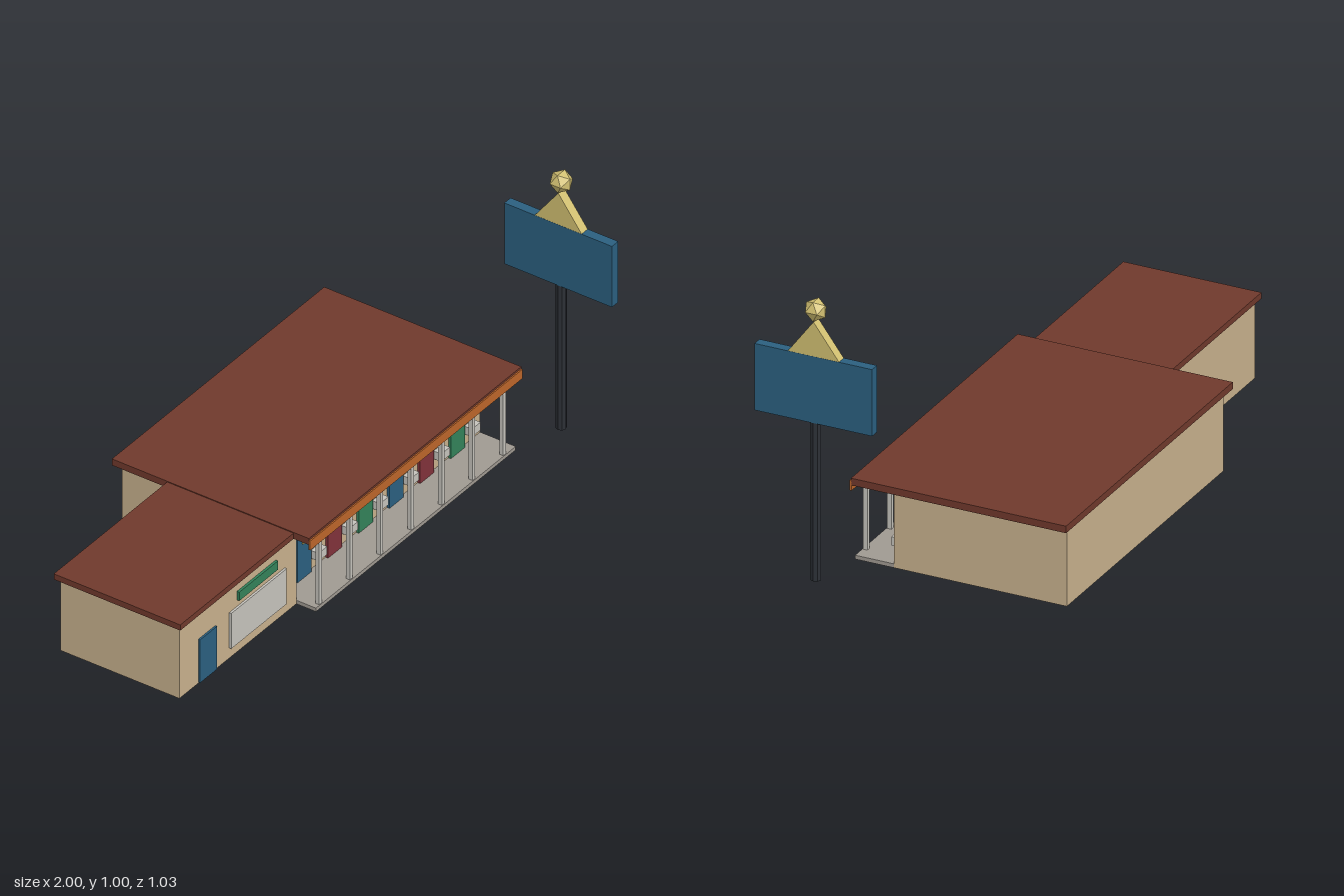
import * as THREE from 'three';

const mat = (name, color) => Object.assign(new THREE.MeshStandardMaterial({ color }), { name });

export function createModel() {
  const wall = mat('tan stucco', 0xc8b18d);
  const roof = mat('brown roof', 0x70392c);
  const orange = mat('orange trim', 0xbc652a);
  const blue = mat('blue paint', 0x2b6080);
  const red = mat('red paint', 0x81323a);
  const green = mat('green paint', 0x33825a);
  const pale = mat('pale grey', 0xc6c4bd);
  const concrete = mat('concrete', 0xa09a92);
  const yellow = mat('sign yellow', 0xd2c072);
  const dark = mat('dark metal', 0x2c3036);

  const model = new THREE.Group();
  model.name = 'roadsideMotel';

  const add = (name, geometry, material, x = 0, y = 0, z = 0, parent = model) => {
    const mesh = new THREE.Mesh(geometry, material);
    mesh.name = name;
    mesh.position.set(x, y, z);
    parent.add(mesh);
    return mesh;
  };
  // Box given by its minimum and maximum on each axis
  const box = (name, material, [x0, x1], [y0, y1], [z0, z1], parent) =>
    add(name, new THREE.BoxGeometry(x1 - x0, y1 - y0, z1 - z0), material,
      (x0 + x1) / 2, (y0 + y1) / 2, (z0 + z1) / 2, parent);

  // Buildings and roofs
  box('roomBlock', wall, [-0.335, 0.775], [0, 0.28], [-0.502, 0.12]);
  box('officeBlock', wall, [-0.985, -0.335], [0, 0.28], [-0.285, 0.183]);
  box('roomRoof', roof, [-0.37, 0.81], [0.28, 0.305], [-0.517, 0.257]);
  box('officeRoof', roof, [-1, -0.37], [0.28, 0.302], [-0.3, 0.197]);
  box('roofFascia', orange, [-0.37, 0.81], [0.261, 0.297], [0.255, 0.262]);
  box('walkway', concrete, [-0.335, 0.775], [0, 0.014], [0.12, 0.26]);

  // Office front
  box('officeDoor', blue, [-0.88, -0.786], [0.004, 0.172], [0.183, 0.19]);
  box('officeWindow', pale, [-0.708, -0.4], [0.04, 0.178], [0.183, 0.191]);
  box('officeSign', green, [-0.665, -0.45], [0.203, 0.237], [0.183, 0.192]);

  // Porch posts
  const pitch = 0.1705;
  for (let i = 0; i < 7; i++) {
    const x = -0.306 + i * pitch;
    box('porchPost', pale, [x - 0.0075, x + 0.0075], [0.014, 0.28], [0.242, 0.257]);
  }

  // Guest rooms: door, number plate, window and air conditioner
  const paints = [blue, red, green];
  for (let i = 0; i < 6; i++) {
    const room = new THREE.Group();
    room.name = 'guestRoom';
    room.position.x = -0.215 + i * pitch;
    model.add(room);
    box('roomDoor', paints[i % 3], [-0.039, 0.039], [0.014, 0.188], [0.12, 0.13], room);
    box('numberPlate', yellow, [-0.014, 0.014], [0.152, 0.172], [0.128, 0.135], room);
    box('roomWindow', wall, [0.044, 0.103], [0.11, 0.17], [0.12, 0.1305], room);
    box('airConditioner', pale, [0.05, 0.098], [0.056, 0.087], [0.12, 0.15], room);
  }

  // Roadside sign
  const sign = new THREE.Group();
  sign.name = 'roadsideSign';
  sign.position.set(0.963, 0, 0.306);
  model.add(sign);
  add('signPole', new THREE.CylinderGeometry(0.018, 0.018, 0.566, 8).toNonIndexed(), dark, 0, 0.283, 0, sign)
    .geometry.computeVertexNormals();
  add('signBoard', new THREE.BoxGeometry(0.035, 0.238, 0.423), blue, 0, 0.684, 0, sign);

  // Triangular crest, extruded across the thickness of the board
  const triangle = new THREE.Shape([
    new THREE.Vector2(-0.092, 0), new THREE.Vector2(0.092, 0), new THREE.Vector2(0, 0.123),
  ]);
  const crest = new THREE.ExtrudeGeometry(triangle, { depth: 0.034, bevelEnabled: false });
  crest.translate(0, 0, -0.017).rotateY(Math.PI / 2);
  add('signCrest', crest, yellow, 0, 0.803, 0, sign);
  add('signBall', new THREE.IcosahedronGeometry(0.04, 0), yellow, 0, 0.963, 0, sign);

  return model;
}
